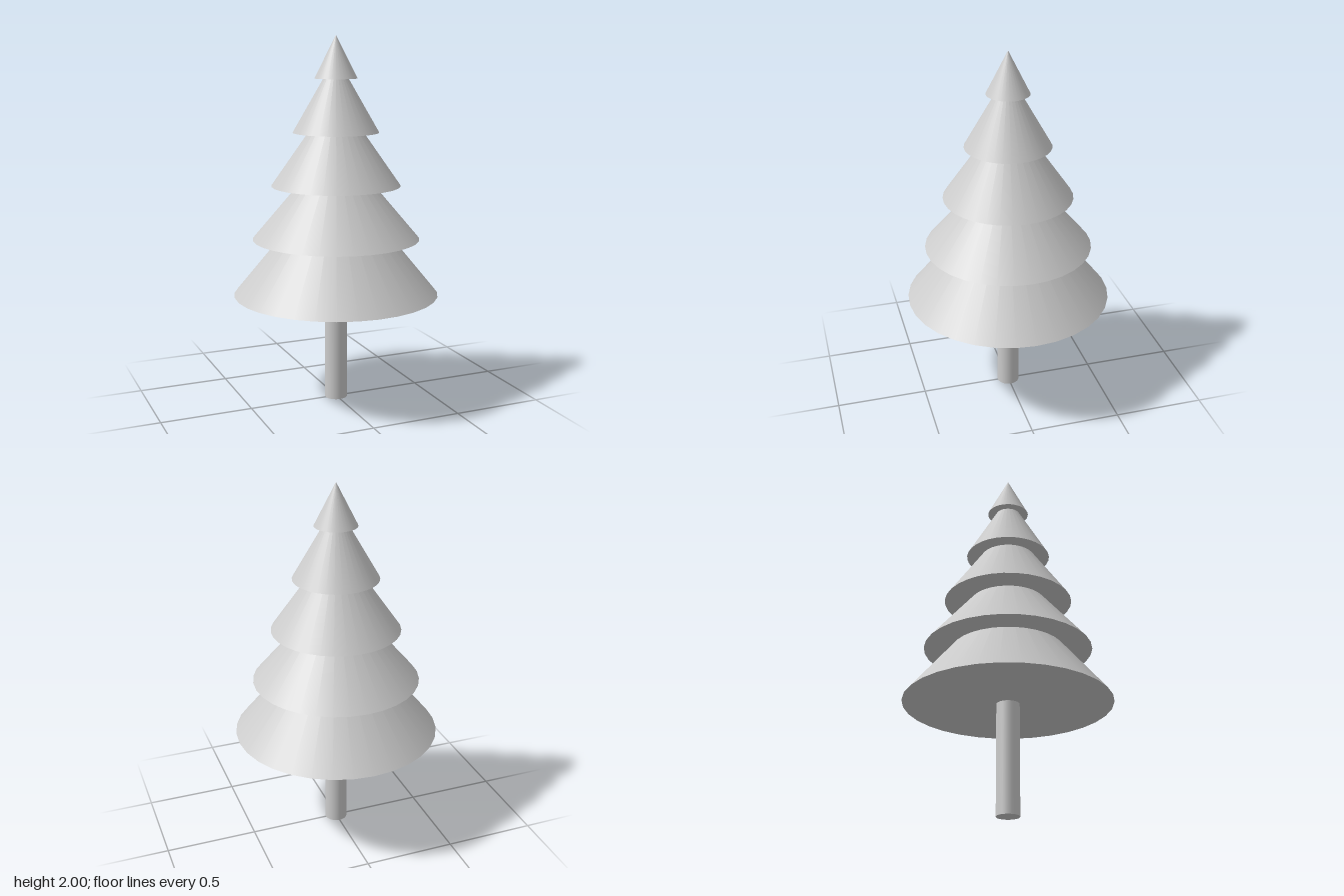
import * as THREE from 'three';

export function createModel() {
  const tree = new THREE.Group();
  tree.name = 'pineTree';
  const material = new THREE.MeshStandardMaterial({ color: 0xcccccc });
  const sides = 32;

  const addPart = (name, geometry, y) => {
    const mesh = new THREE.Mesh(geometry, material);
    mesh.name = name;
    mesh.position.y = y;
    tree.add(mesh);
  };

  // Trunk, ending just inside the lowest tier
  const trunkHeight = 0.62;
  addPart('trunk', new THREE.CylinderGeometry(0.062, 0.062, trunkHeight, sides), trunkHeight / 2);

  // Foliage tiers, bottom to top: [radius, base height, apex height]
  const tiers = [
    [0.56, 0.601, 1.28],
    [0.455, 0.909, 1.445],
    [0.35, 1.2, 1.7],
    [0.232, 1.487, 1.89],
    [0.115, 1.773, 2.0],
  ];
  tiers.forEach(([radius, base, apex], i) => {
    addPart(`foliageTier${i + 1}`, new THREE.ConeGeometry(radius, apex - base, sides), (base + apex) / 2);
  });

  return tree;
}
